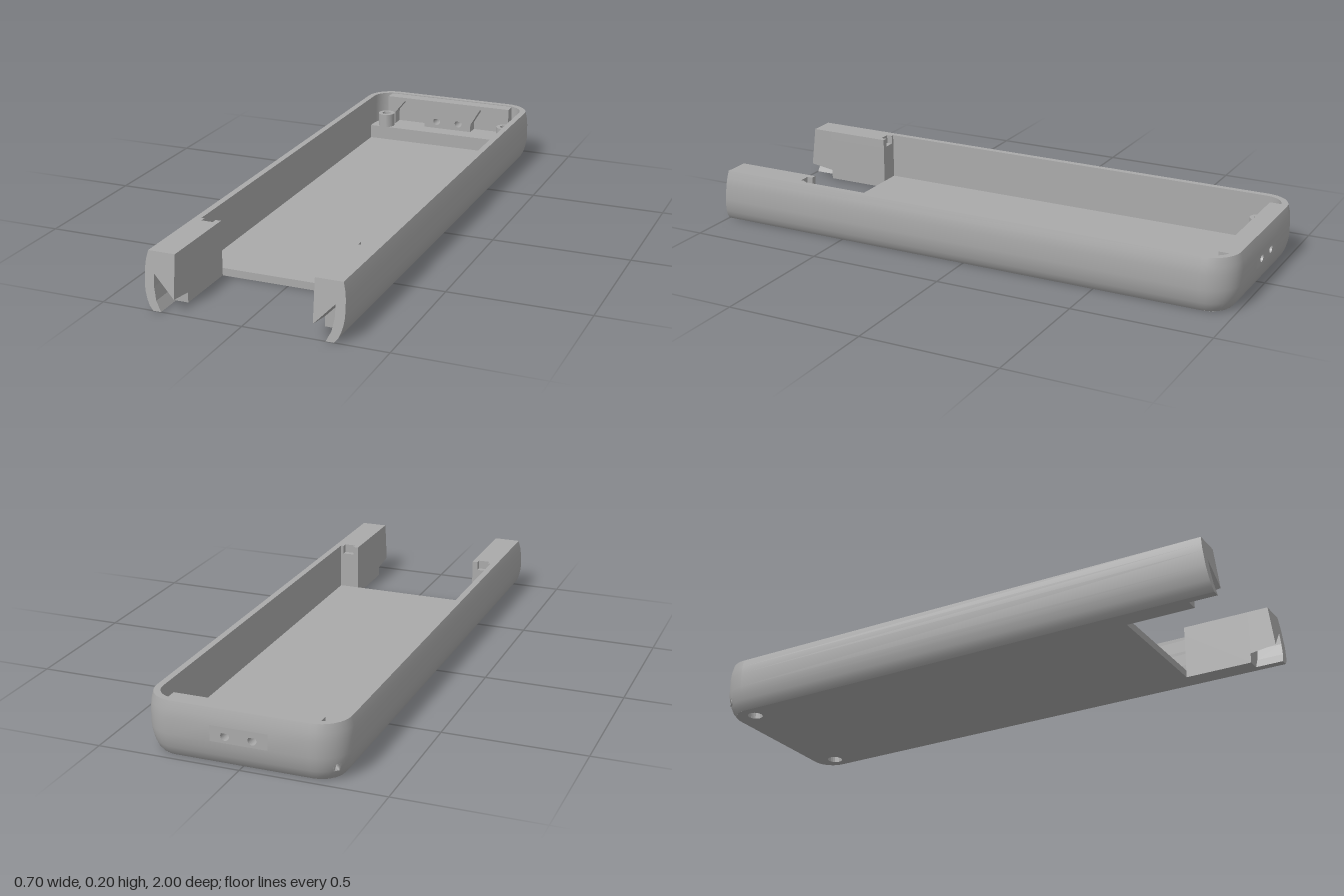
import * as THREE from 'three';
import { toCreasedNormals } from 'three/addons/utils/BufferGeometryUtils.js';

const CX = 0.238, CZ = -0.89, R = 0.11;          // plan corner centre and radius
const IN = 0.033;                                // wall thickness
const H = 0.197, STEP = 0.08, FLOOR = 0.027;
const ARM_Z = 0.655, NOTCH_Z = 0.9;
const SCREW = [0.257, -0.885];
const frontZ = y => 1 - 0.127 * y;               // slanted front end

// Wall cross-section: [inset from outer face, height]
const PROFILE = [[IN, 0], [0.02, 0.015], [0.011, 0.035], [0.004, 0.06], [0, 0.085], [0, 0.14],
  [0.003, 0.168], [0.01, H], [IN, H], [IN, 0.14], [IN, 0.085]];

// U-shaped run of points for one profile point, from left front round the back to right front
function wallRun([d, y]) {
  const r = R - d, half = [[CX + r, frontZ(y)]];
  for (let i = 0; i <= 8; i++) {
    const a = i / 8 * Math.PI / 2;
    half.push([CX + r * Math.cos(a), CZ - r * Math.sin(a)]);
  }
  half.push([0.1, CZ - r]);
  return [...half, ...half.map(([x, z]) => [-x, z]).reverse()].map(([x, z]) => [x, y, z]);
}

function wallGeometry() {
  const n = PROFILE.length, runs = PROFILE.map(wallRun), count = runs[0].length;
  const pos = [], idx = [];
  for (let s = 0; s < count; s++) for (let j = 0; j < n; j++) pos.push(...runs[j][s]);
  for (let s = 0; s < count - 1; s++) for (let j = 0; j < n; j++) {
    if (s === 10 && (j === 4 || j === 9)) continue;   // opening for the pierced plate
    if (s === 16 && j === 2) continue;                // small corner hole
    const a = s * n + j, b = a + n, k = (j + 1) % n, c = (s + 1) * n + k, d = s * n + k;
    idx.push(a, b, c, a, c, d);
  }
  const caps = THREE.ShapeUtils.triangulateShape(PROFILE.map(([d, y]) => new THREE.Vector2(-d, y)), []);
  const last = (count - 1) * n;
  for (const [a, b, c] of caps) idx.push(a, b, c, last + a, last + c, last + b);
  const g = new THREE.BufferGeometry();
  g.setAttribute('position', new THREE.Float32BufferAttribute(pos, 3));
  g.setIndex(idx);
  return toCreasedNormals(g, 0.5);
}

const poly = pts => new THREE.Shape(pts.map(p => new THREE.Vector2(...p)));
const extrude = (shape, depth) => new THREE.ExtrudeGeometry(shape, { depth, bevelEnabled: false, curveSegments: 10 });
const upright = (shape, z0, z1) => extrude(shape, z1 - z0).translate(0, 0, z0);
// Plan shapes are drawn with x and -z
const slab = (shape, y0, y1) => extrude(shape, y1 - y0).rotateX(-Math.PI / 2).translate(0, y0, 0);

// Plan of the inner cavity behind a given z, with two screw holes
function cavityPlan(z, hole) {
  const s = new THREE.Shape(), r = R - IN;
  s.moveTo(-CX - r, -z);
  s.lineTo(CX + r, -z);
  s.absarc(CX, -CZ, r, 0, Math.PI / 2, false);
  s.absarc(-CX, -CZ, r, Math.PI / 2, Math.PI, false);
  for (const m of [1, -1]) s.holes.push(new THREE.Path().absarc(m * SCREW[0], -SCREW[1], hole, 0, 2 * Math.PI, true));
  return s;
}

function teardrop(x) {
  const p = new THREE.Path(), r = 0.015, y = 0.109;
  p.moveTo(x, y + 0.021);
  p.absarc(x, y, r, Math.PI * 0.78, Math.PI * 2.22, false);
  p.closePath();
  return p;
}

function pierced(pts) {
  const s = poly(pts);
  s.holes.push(teardrop(0.047), teardrop(-0.047));
  return s;
}

// Front piece of an arm: slant the end and let the undercut roof fall to the back
function slantFront(g) {
  const p = g.attributes.position;
  for (let i = 0; i < p.count; i++) {
    const x = p.getX(i), y = p.getY(i);
    if (p.getZ(i) > 0.99) p.setZ(i, frontZ(y));
    else if (Math.abs(y - 0.048) < 0.001 || (x > 0.3 && Math.abs(y - 0.123) < 0.001)) p.setY(i, y - 0.013);
  }
  g.computeVertexNormals();
  return g;
}

export function createModel() {
  const group = new THREE.Group();
  const grey = new THREE.MeshStandardMaterial({ color: 0xaaaaaa });
  grey.name = 'grey plastic';
  grey.side = THREE.DoubleSide;
  const add = (name, geometry, parent = group) => {
    const m = new THREE.Mesh(geometry, grey);
    m.name = name;
    parent.add(m);
    return m;
  };

  add('outerWall', wallGeometry());
  add('floor', slab(cavityPlan(ARM_Z, 0.028), 0, FLOOR));
  add('rearStep', slab(cavityPlan(-0.855, 0.017), FLOOR, STEP));

  // Rear wall with two side recesses and two drop-shaped holes
  const right = [[0.1, STEP], [0.1, 0.11], [0.14, 0.179], [0.19, 0.179], [0.23, 0.13], [0.23, STEP],
    [0.262, STEP], [0.262, H - 0.003]];
  const mirrored = right.map(([x, y]) => [-x, y]).reverse();
  add('rearInnerWall', upright(pierced([...right, ...mirrored]), CZ - R + IN, -0.92));
  add('rearPiercedPlate', upright(pierced([[-0.1, 0.085], [0.1, 0.085], [0.1, 0.14], [-0.1, 0.14]]), -1, CZ - R + IN));

  // Lining of the small hole in the right rear corner
  const pit = add('cornerHole', new THREE.CylinderGeometry(0.015, 0.015, 0.05, 4, 1, true).rotateY(Math.PI / 4).rotateX(Math.PI / 2));
  pit.position.set(-0.296, 0.047, -0.943);
  pit.rotation.y = Math.PI / 4;

  // Screw bosses, arms and latch notches on both sides
  for (const m of [1, -1]) {
    const boss = add(m > 0 ? 'leftScrewBoss' : 'rightScrewBoss', toCreasedNormals(new THREE.LatheGeometry(
      [[0.033, STEP], [0.033, 0.132], [0.017, 0.132], [0.017, STEP]].map(p => new THREE.Vector2(...p)), 24), 0.6));
    boss.position.set(m * SCREW[0], 0, SCREW[1]);

    const arm = new THREE.Group();
    arm.name = m > 0 ? 'leftArm' : 'rightArm';
    arm.scale.x = m;
    group.add(arm);
    const a = 0.242, b = 0.315;
    add('armBase', slab(poly([[a, -NOTCH_Z], [b, -NOTCH_Z], [b, -ARM_Z], [a, -ARM_Z]]), 0, 0.165), arm);
    add('armTop', slab(poly([[a, -NOTCH_Z], [b, -NOTCH_Z], [b, -ARM_Z], [0.304, -ARM_Z], [0.304, -0.676],
      [0.262, -0.676], [0.262, -ARM_Z], [a, -ARM_Z]]), 0.165, H), arm);
    add('armTip', slantFront(upright(poly([[a, 0.048], [b, 0.123], [b, H], [a, H]]), NOTCH_Z, 1)), arm);
    add('armSkin', slantFront(upright(poly([[0.287, 0], [b, 0], [b, 0.12], [0.314, 0.08], [0.305, 0.035]]), NOTCH_Z, 1)), arm);
  }
  return group;
}
